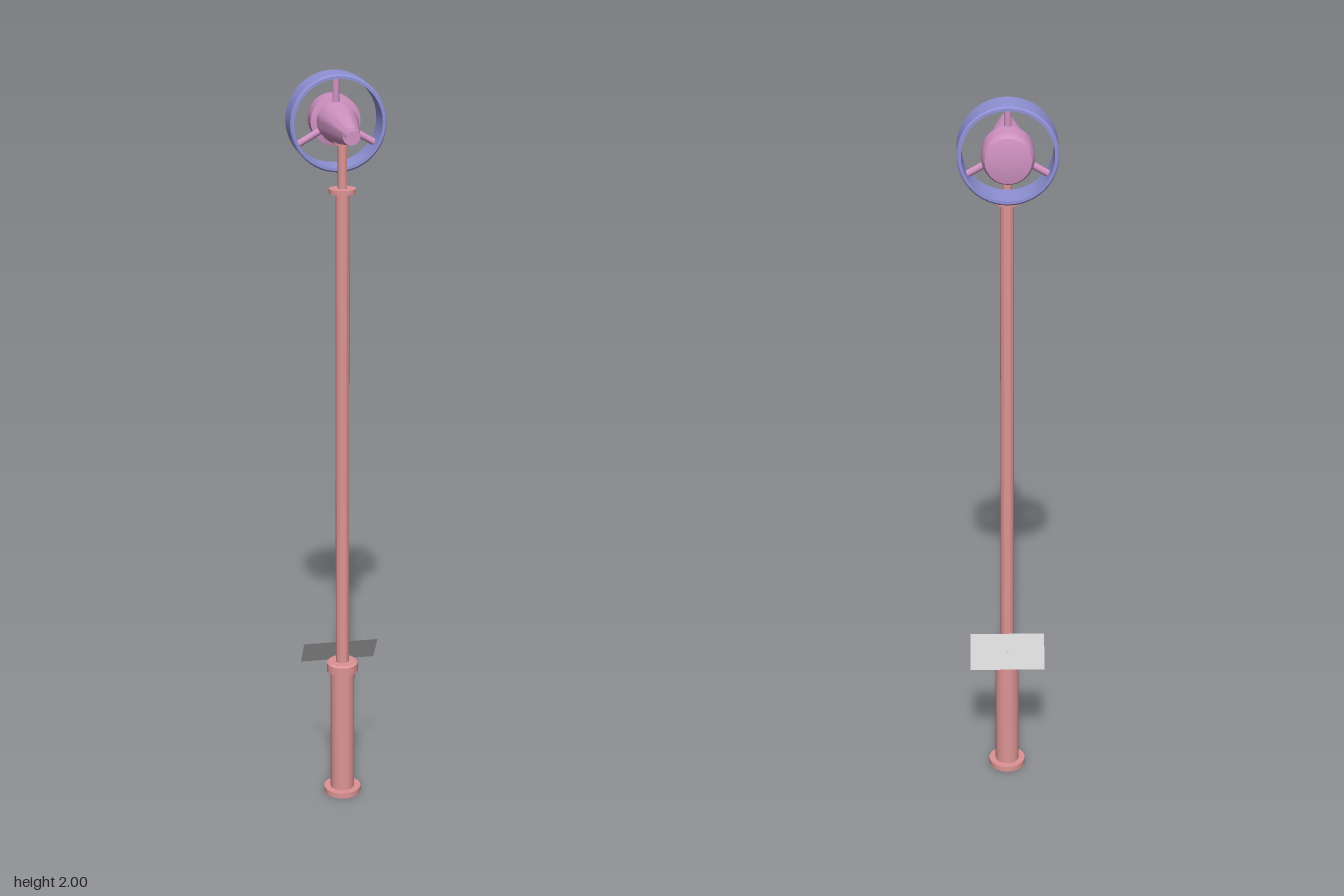
import * as THREE from 'three';
import { toCreasedNormals } from 'three/addons/utils/BufferGeometryUtils.js';

const POST_Z = 0.017;   // post axis
const HEAD_Y = 1.878;   // rotor axis height

const paint = (color) => new THREE.MeshStandardMaterial({ color, side: THREE.DoubleSide });
const salmon = paint(0xdd9494);
const pink = paint(0xd193c3);
const blue = paint(0x9092d6);
const grey = paint(0xcccccc);

// Surface of revolution from [radius, height] pairs, with crisp edges
function lathe(points, segments = 32) {
  const profile = points.map(([r, y]) => new THREE.Vector2(r, y));
  return toCreasedNormals(new THREE.LatheGeometry(profile, segments), 0.5);
}

export function createModel() {
  const model = new THREE.Group();
  const add = (name, geometry, material, parent = model) => {
    const mesh = new THREE.Mesh(geometry, material);
    mesh.name = name;
    parent.add(mesh);
    return mesh;
  };

  // Post: base flange, thick lower sleeve, collar, tall mast, cap flange, thin neck
  const post = new THREE.Group();
  post.name = 'post';
  post.position.z = POST_Z;
  model.add(post);
  add('lowerSleeve', lathe([
    [0, 0], [0.051, 0], [0.051, 0.016], [0.033, 0.016], [0.033, 0.372],
    [0.043, 0.374], [0.043, 0.398], [0.038, 0.402], [0, 0.402],
  ]), salmon, post);
  add('mast', lathe([
    [0.018, 0.4], [0.018, 1.711], [0.035, 1.711], [0.035, 1.723], [0, 1.723],
  ]), salmon, post);
  add('neck', lathe([
    [0.012, 1.72], [0.012, 1.834], [0.024, 1.836], [0.024, 1.847], [0.012, 1.85], [0, 1.85],
  ]), salmon, post);

  // Tilted panel behind the post, with a short bracket
  const panel = add('tiltedPanel', new THREE.PlaneGeometry(0.206, 0.1), grey);
  panel.position.set(0, 0.409, -0.035);
  panel.rotation.x = Math.atan2(0.06, 0.08);
  const bracket = add('panelBracket', new THREE.CylinderGeometry(0.006, 0.006, 0.05, 12), salmon);
  bracket.rotation.x = Math.PI / 2;
  bracket.position.set(0, 0.405, -0.01);

  // Turbine head, turned so its axis runs along z
  const head = new THREE.Group();
  head.name = 'turbineHead';
  head.position.y = HEAD_Y;
  model.add(head);
  const axis = new THREE.Group();
  axis.name = 'headAxis';
  axis.rotation.x = Math.PI / 2;
  head.add(axis);

  add('body', lathe([
    [0, -0.17], [0.057, -0.157], [0.062, -0.148], [0.065, -0.133], [0.065, -0.082],
    [0.05, -0.078], [0.05, -0.03], [0.022, 0.145], [0, 0.145],
  ]), pink, axis);

  // Upper half of the cone continues past the lower half as a lip
  const lip = new THREE.Shape();
  lip.absarc(0, 0, 0.0205, 0, Math.PI);
  const lipGeometry = new THREE.ExtrudeGeometry(lip, { depth: 0.024, bevelEnabled: false, curveSegments: 16 });
  const pos = lipGeometry.attributes.position;
  for (let i = 0; i < pos.count; i++) {
    const s = 1 - 0.12 * pos.getZ(i) / 0.024;
    pos.setXY(i, pos.getX(i) * s, pos.getY(i) * s);
  }
  const noseLip = add('noseLip', toCreasedNormals(lipGeometry, 0.5), pink, head);
  noseLip.position.z = 0.1445;

  // Shroud ring
  add('shroudRing', lathe([
    [0.114, -0.123], [0.121, -0.123], [0.125, -0.119], [0.125, -0.039],
    [0.121, -0.035], [0.114, -0.035], [0.114, -0.123],
  ], 48), blue, axis);

  // Three struts between body and ring
  for (let i = 0; i < 3; i++) {
    const strut = new THREE.Group();
    strut.name = 'strut' + (i + 1);
    strut.rotation.z = i * Math.PI * 2 / 3;
    head.add(strut);
    const bar = add('strutBar', new THREE.CylinderGeometry(0.009, 0.009, 0.075, 16), pink, strut);
    bar.position.set(0, 0.08, -0.079);
  }
  return model;
}
